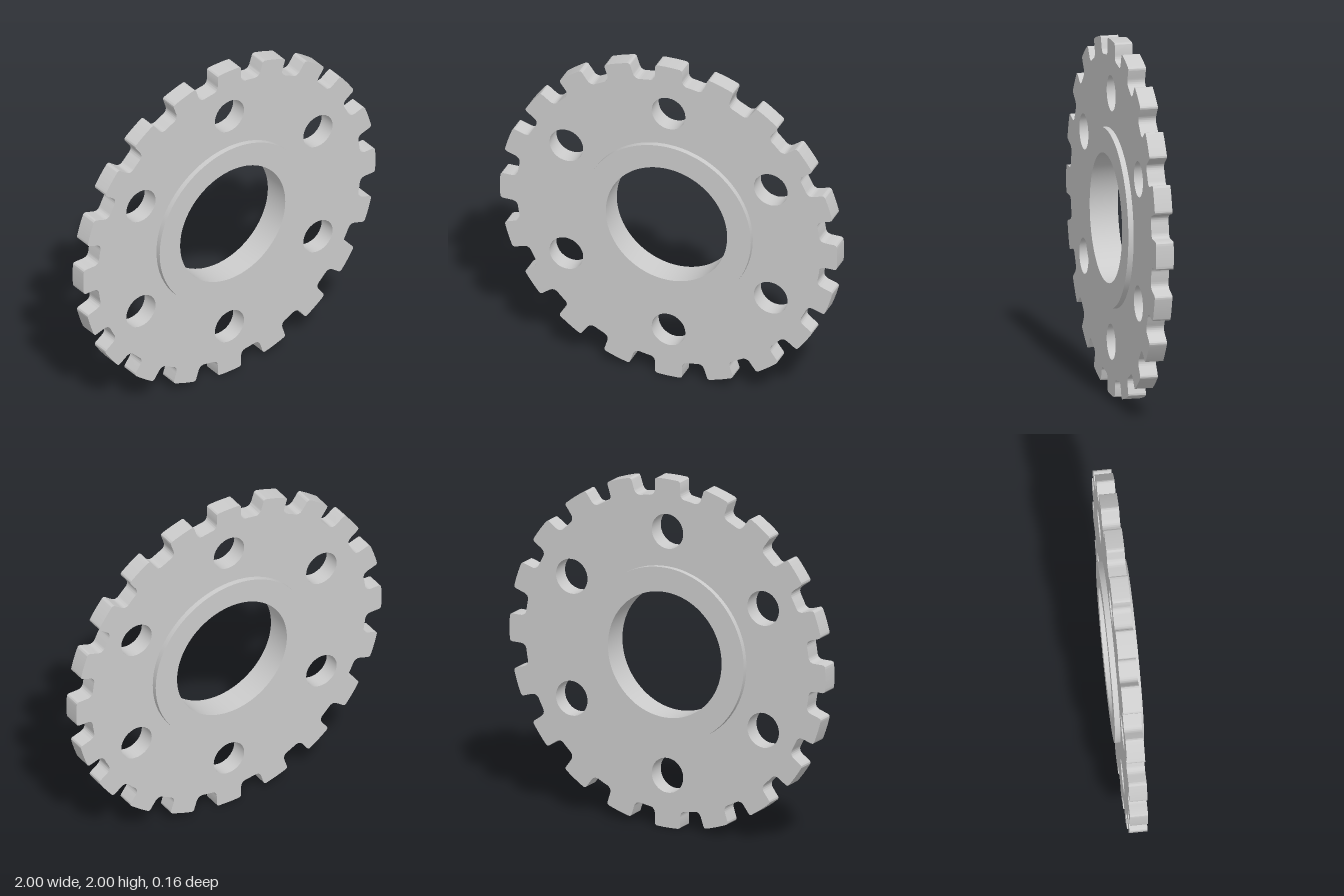
import * as THREE from 'three';
import { toCreasedNormals } from 'three/addons/utils/BufferGeometryUtils.js';

const TEETH = 20, TIP = 1, ROOT = 0.9, HALF = 0.08;
const PLATE = 0.1, RING = 0.16, BORE = 0.36, COLLAR = 0.5;

// Circular hole path
function circle(x, y, r) {
  return new THREE.Path().absarc(x, y, r, 0, Math.PI * 2, true);
}

// Disc outline with parallel-sided teeth, filleted roots and rounded tips
function gearShape() {
  const s = new THREE.Shape();
  const onCircle = (r, v) => [Math.sqrt(r * r - v * v), v];
  for (let i = 0; i < TEETH; i++) {
    const a = (i / TEETH) * Math.PI * 2, c = Math.cos(a), n = Math.sin(a);
    // u runs outward along the tooth, v across it
    const at = ([u, v]) => [u * c - v * n, u * n + v * c];
    const foot = HALF + 0.035, tip = HALF - 0.016;
    const tipAngle = Math.asin(tip / TIP), footAngle = Math.asin(foot / ROOT);
    const start = at(onCircle(ROOT, -foot));
    if (i === 0) s.moveTo(...start);
    s.quadraticCurveTo(...at(onCircle(ROOT, -HALF)), ...at([0.932, -HALF]));
    s.lineTo(...at([0.98, -HALF]));
    s.quadraticCurveTo(...at(onCircle(TIP, -HALF)), ...at(onCircle(TIP, -tip)));
    s.absarc(0, 0, TIP, a - tipAngle, a + tipAngle, false);
    s.quadraticCurveTo(...at(onCircle(TIP, HALF)), ...at([0.98, HALF]));
    s.lineTo(...at([0.932, HALF]));
    s.quadraticCurveTo(...at(onCircle(ROOT, HALF)), ...at(onCircle(ROOT, foot)));
    s.absarc(0, 0, ROOT, a + footAngle, a + Math.PI * 2 / TEETH - footAngle, false);
  }
  return s;
}

export function createModel() {
  const group = new THREE.Group();
  const material = new THREE.MeshStandardMaterial({ color: 0xcccccc });
  const add = (geometry, name) => {
    const mesh = new THREE.Mesh(toCreasedNormals(geometry, 0.6), material);
    mesh.name = name;
    mesh.position.y = 1;
    group.add(mesh);
  };

  // Toothed plate with six round holes; its centre opening is hidden in the collar
  const shape = gearShape();
  shape.holes.push(circle(0, 0, (BORE + COLLAR) / 2));
  for (let i = 0; i < 6; i++) {
    const a = Math.PI / 2 + i * Math.PI / 3;
    shape.holes.push(circle(0.7 * Math.cos(a), 0.7 * Math.sin(a), 0.1));
  }
  const plate = new THREE.ExtrudeGeometry(shape, { depth: PLATE, bevelEnabled: false, curveSegments: 16 });
  plate.translate(0, 0, -PLATE / 2);
  add(plate, 'toothedPlate');

  // Raised collar around the bore, standing out on both faces
  const h = RING / 2;
  const profile = [[BORE, -h], [COLLAR, -h], [COLLAR, h], [BORE, h], [BORE, -h]]
    .map(([r, y]) => new THREE.Vector2(r, y));
  const collar = new THREE.LatheGeometry(profile, 96);
  collar.rotateX(Math.PI / 2);
  add(collar, 'hubCollar');

  return group;
}
